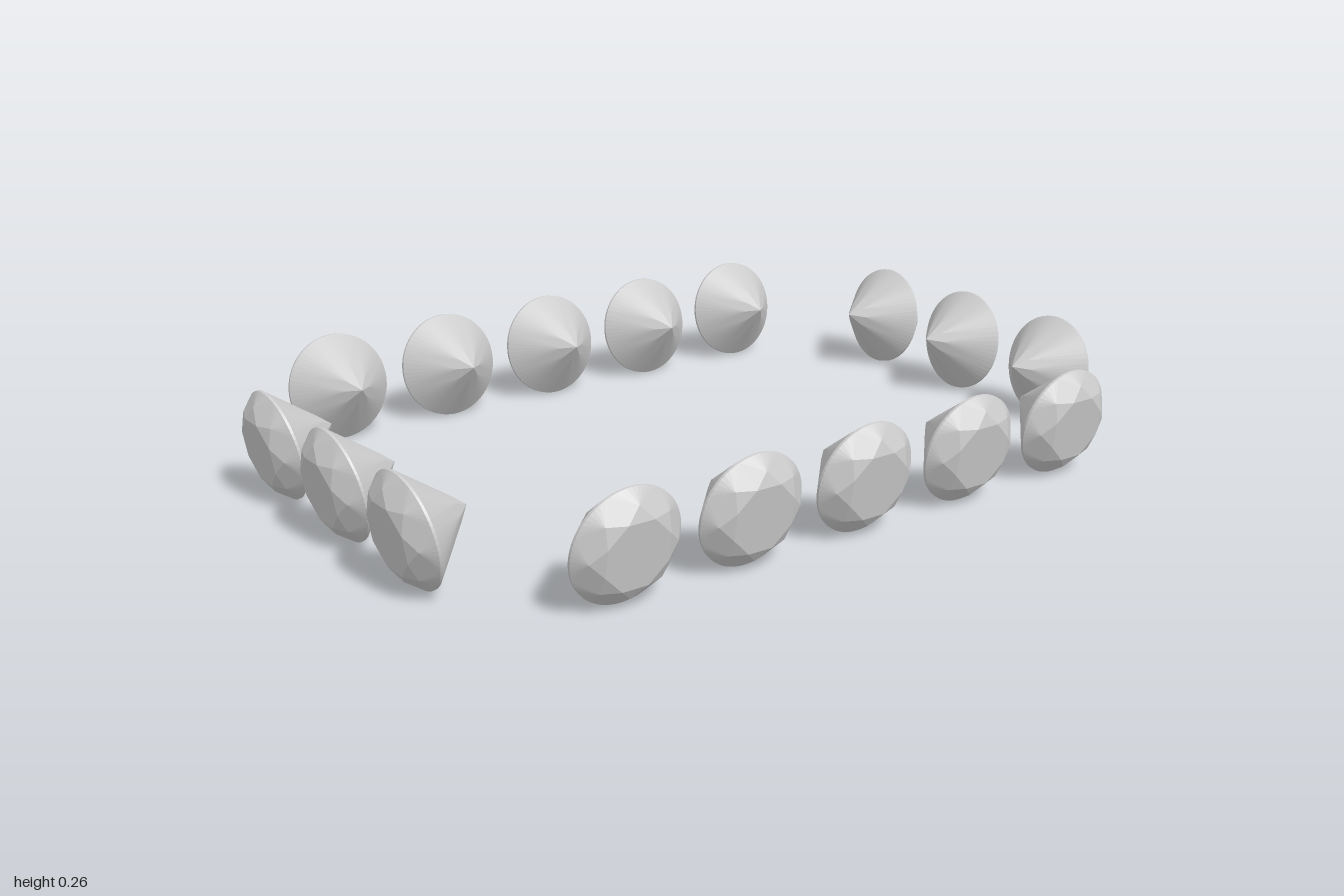
import * as THREE from 'three';

const R = 0.133;          // girdle radius
const RIM = 0.003;        // half thickness of the girdle
const TABLE_R = 0.082, TABLE_H = 0.047;
const CULET_H = -0.139;
const STEP = Math.PI / 8; // half of one of the eight sectors
const FINE = 4;           // girdle segments per half sector

// Round brilliant cut, table facing +z
function brilliantGeometry() {
  const pos = [];
  const pt = (r, a, z) => [r * Math.cos(a), r * Math.sin(a), z];
  const tri = (a, b, c) => pos.push(...a, ...b, ...c);

  // Side corners of the kite facets, kept in the plane of each kite
  const crownP = 0.099, pavP = 0.03;
  const starR = crownP / Math.cos(STEP), lowR = pavP / Math.cos(STEP);
  const starH = TABLE_H + (RIM - TABLE_H) * (crownP - TABLE_R) / (R - TABLE_R);
  const lowH = CULET_H + (-RIM - CULET_H) * pavP / R;
  const top = [0, 0, TABLE_H], culet = [0, 0, CULET_H];

  for (let i = 0; i < 8; i++) {
    const a = (2 * i + 1) * STEP, prev = a - STEP, next = a + STEP;
    const t0 = pt(TABLE_R, a, TABLE_H), t1 = pt(TABLE_R, a + 2 * STEP, TABLE_H);
    const s0 = pt(starR, prev, starH), s1 = pt(starR, next, starH);
    const l0 = pt(lowR, prev, lowH), l1 = pt(lowR, next, lowH);
    const g = pt(R, a, RIM), h = pt(R, a, -RIM);
    // Table and star facets
    tri(top, t0, t1);
    tri(t0, s1, t1);
    // Crown and pavilion kites
    tri(t0, s0, g);
    tri(t0, g, s1);
    tri(culet, h, l0);
    tri(culet, l1, h);
    // Girdle band with the upper and lower half facets
    for (let k = -FINE; k < FINE; k++) {
      const b = a + STEP * k / FINE, c = a + STEP * (k + 1) / FINE;
      const u0 = pt(R, b, RIM), u1 = pt(R, c, RIM);
      const d0 = pt(R, b, -RIM), d1 = pt(R, c, -RIM);
      tri(k < 0 ? s0 : s1, u0, u1);
      tri(d0, d1, u1);
      tri(d0, u1, u0);
      tri(k < 0 ? l0 : l1, d1, d0);
    }
  }
  const geo = new THREE.BufferGeometry();
  geo.setAttribute('position', new THREE.Float32BufferAttribute(pos, 3));
  geo.computeVertexNormals();
  return geo;
}

export function createModel() {
  const model = new THREE.Group();
  model.name = 'gemSetting';
  const geo = brilliantGeometry();
  const mat = new THREE.MeshStandardMaterial({ color: 0xcccccc, flatShading: true });
  const TILT = THREE.MathUtils.degToRad(9.8);
  const SPACING = 0.316;

  // One straight row of gems, tables facing outwards and slightly down
  function row(name, count, distance, turn) {
    const group = new THREE.Group();
    group.name = name;
    for (let i = 0; i < count; i++) {
      const gem = new THREE.Mesh(geo, mat);
      gem.name = 'gem' + (i + 1);
      gem.position.set((i - (count - 1) / 2) * SPACING, 0.1315, distance);
      gem.rotation.x = TILT;
      group.add(gem);
    }
    group.rotation.y = turn;
    model.add(group);
  }
  row('frontGems', 3, 0.941, 0);
  row('backGems', 3, 0.941, Math.PI);
  row('leftGems', 5, 0.641, Math.PI / 2);
  row('rightGems', 5, 0.641, -Math.PI / 2);
  return model;
}
